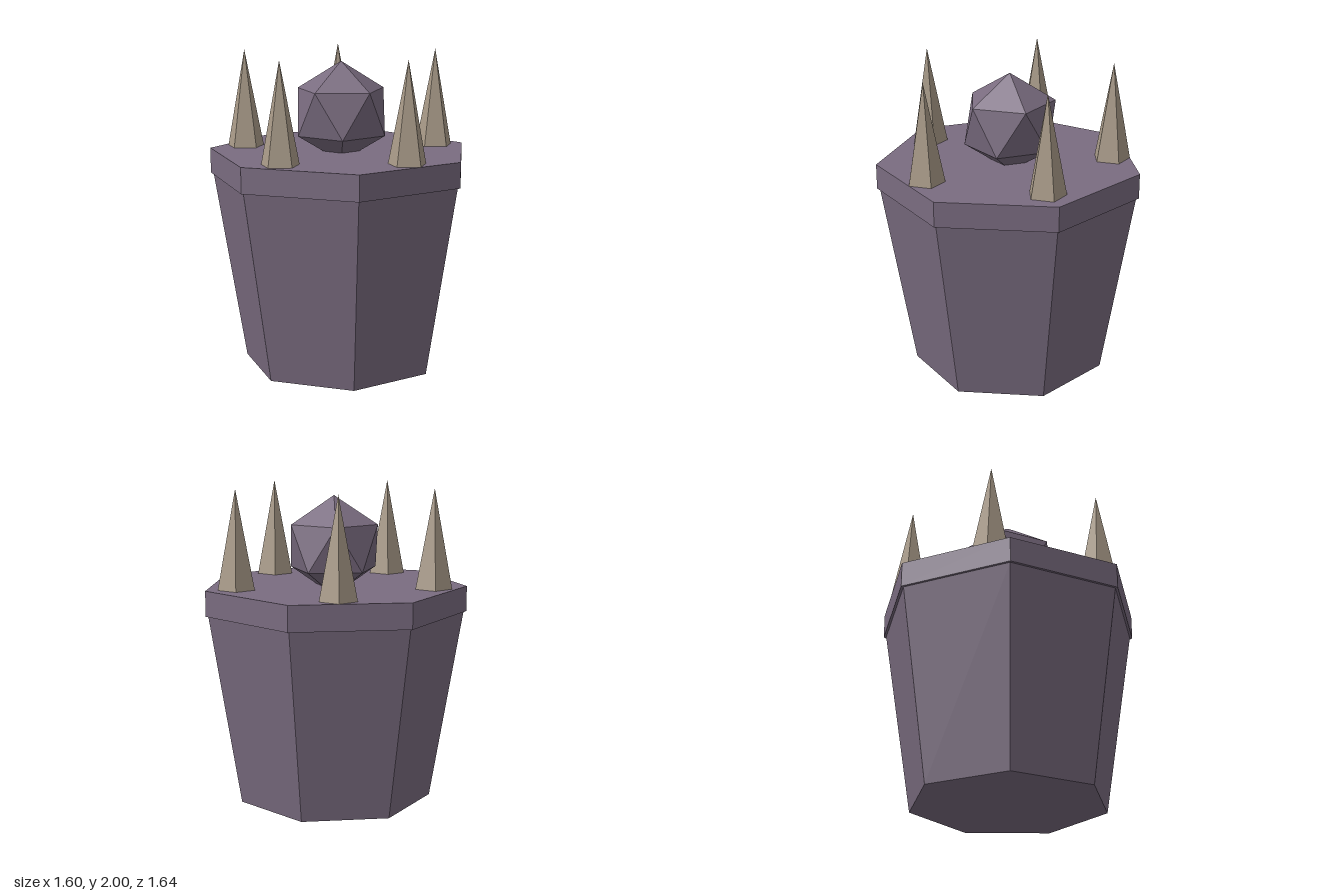
import * as THREE from 'three';

const CX = -0.042; // shared vertical axis of all the parts

export function createModel() {
  const model = new THREE.Group();
  model.name = 'spikedPot';

  const stone = new THREE.MeshStandardMaterial({ color: 0x7a6c80 });
  stone.name = 'dusty purple';
  const bone = new THREE.MeshStandardMaterial({ color: 0xa89a88 });
  bone.name = 'bone';
  stone.flatShading = bone.flatShading = true;

  const add = (name, geometry, material, x, y, z) => {
    const mesh = new THREE.Mesh(geometry, material);
    mesh.name = name;
    mesh.position.set(x, y, z);
    model.add(mesh);
    return mesh;
  };

  // Seven-sided prism, one corner pointing to +x
  const prism = (top, bottom, height, sides = 7) =>
    new THREE.CylinderGeometry(top, bottom, height, sides).rotateY(Math.PI / 2);

  // Tapered body and overhanging rim
  add('body', prism(0.825, 0.626, 1.22), stone, CX, 0.61, 0);
  add('rim', prism(0.842, 0.842, 0.16), stone, CX, 1.3, 0);

  // Faceted orb standing on a corner, sunk into the lid
  const orb = new THREE.IcosahedronGeometry(0.319, 0);
  orb.rotateZ(-Math.atan2(2, 1 + Math.sqrt(5)));
  add('orb', orb, stone, CX, 1.625, 0);

  // Ring of five spikes, all turned the same way
  const spike = prism(0, 0.12, 0.62, 5);
  for (let i = 0; i < 5; i++) {
    const a = (i / 5) * Math.PI * 2;
    add(`spike${i + 1}`, spike, bone, CX + 0.642 * Math.cos(a), 1.69, 0.642 * Math.sin(a));
  }

  return model;
}
